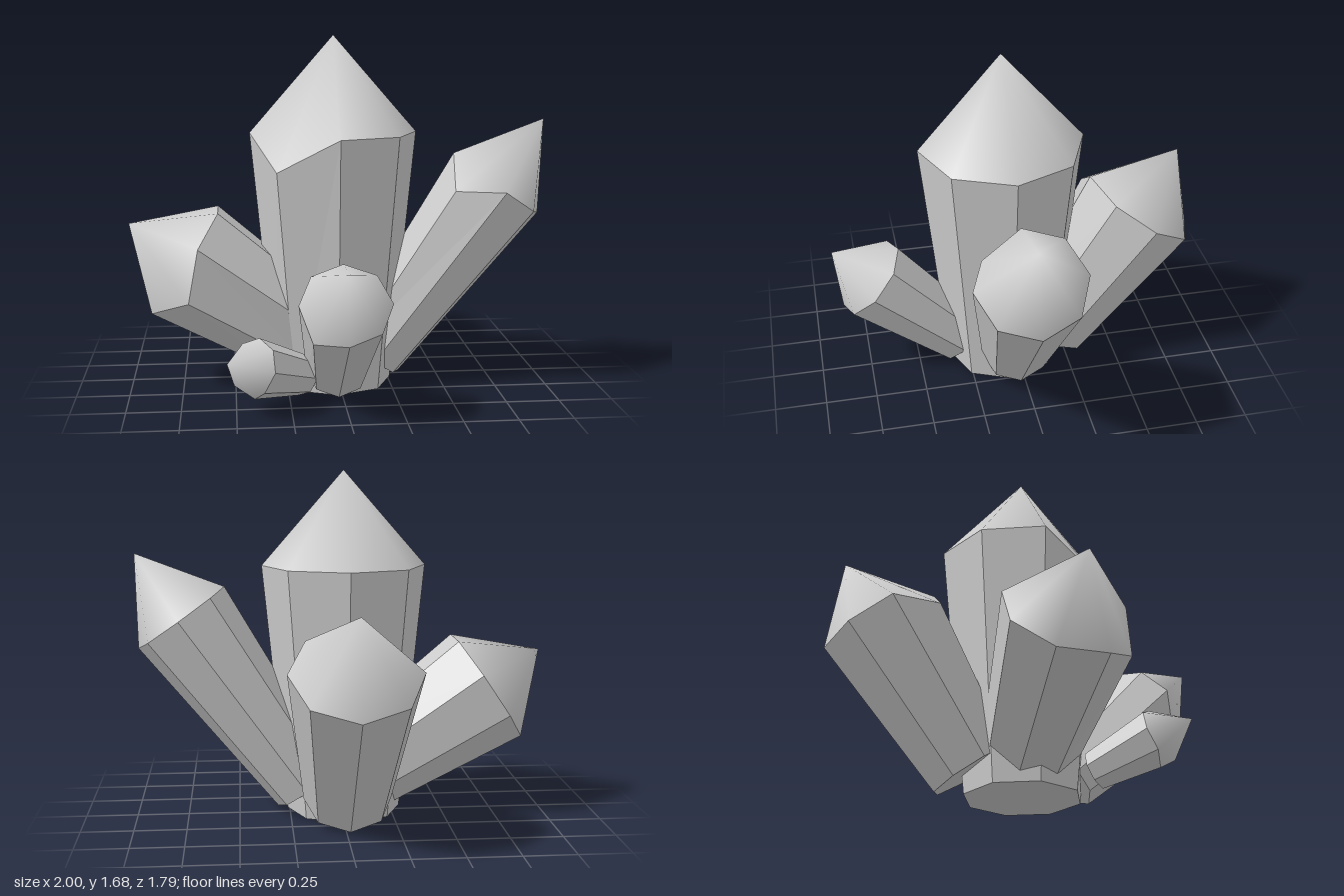
import * as THREE from 'three';
import { mergeVertices } from 'three/addons/utils/BufferGeometryUtils.js';

const SIDES = 8;
const shaftMaterial = new THREE.MeshStandardMaterial({ color: 0xcccccc, flatShading: true });
const tipMaterial = new THREE.MeshStandardMaterial({ color: 0xcccccc });

// Lower the one chipped rim corner (on the -x, +z diagonal)
function chipRim(geometry, rimY, radius, drop) {
  const p = geometry.attributes.position;
  const c = radius * Math.SQRT1_2;
  for (let i = 0; i < p.count; i++) {
    const onRim = Math.abs(p.getY(i) - rimY) < 1e-4;
    if (onRim && Math.hypot(p.getX(i) + c, p.getZ(i) - c) < 1e-4) p.setY(i, rimY - drop);
  }
}

// Tapered octagonal crystal with a smooth pointed end, running from base to tip
function makeCrystal({ name, base, tip, radius, baseRadius, cone, roll = 0 }) {
  const start = new THREE.Vector3(...base);
  const axis = new THREE.Vector3(...tip).sub(start);
  const length = axis.length();
  const rimY = length - cone;
  const drop = length * 0.095;

  const shaftGeometry = new THREE.CylinderGeometry(radius, baseRadius, rimY, SIDES);
  shaftGeometry.translate(0, rimY / 2, 0);
  chipRim(shaftGeometry, rimY, radius, drop);
  const flat = shaftGeometry.toNonIndexed();
  flat.computeVertexNormals();

  // Weld the cone so that its shading runs smoothly over the point
  let tipGeometry = new THREE.ConeGeometry(radius, cone, SIDES, 1, true);
  tipGeometry.translate(0, rimY + cone / 2, 0);
  chipRim(tipGeometry, rimY, radius, drop);
  tipGeometry.deleteAttribute('uv');
  tipGeometry.deleteAttribute('normal');
  tipGeometry = mergeVertices(tipGeometry, 1e-4);
  tipGeometry.computeVertexNormals();

  const shaft = new THREE.Mesh(flat.rotateY(roll), shaftMaterial);
  shaft.name = name + 'Shaft';
  const point = new THREE.Mesh(tipGeometry.rotateY(roll), tipMaterial);
  point.name = name + 'Tip';

  const crystal = new THREE.Group();
  crystal.name = name;
  crystal.add(shaft, point);
  crystal.position.copy(start);
  crystal.quaternion.setFromUnitVectors(new THREE.Vector3(0, 1, 0), axis.normalize());
  return crystal;
}

export function createModel() {
  const crystals = [
    { name: 'centreCrystal', base: [-0.02, 0.01, 0.06], tip: [-0.02, 1.69, 0.06], radius: 0.4, baseRadius: 0.28, cone: 0.46 },
    { name: 'leftCrystal', base: [0.17, 0.13, 0.03], tip: [0.995, 1.29, 0.1], radius: 0.258, baseRadius: 0.17, cone: 0.385 },
    { name: 'rightCrystal', base: [-0.1, 0.2, 0.06], tip: [-1, 0.8, 0.06], radius: 0.31, baseRadius: 0.22, cone: 0.32, roll: Math.PI / 8 },
    { name: 'backCrystal', base: [-0.02, 0.125, -0.18], tip: [-0.02, 1.095, -0.82], radius: 0.306, baseRadius: 0.213, cone: 0.33 },
    { name: 'frontCrystal', base: [-0.02, 0.12, 0.28], tip: [-0.02, 0.715, 0.9], radius: 0.208, baseRadius: 0.147, cone: 0.25 },
    { name: 'smallCrystal', base: [-0.19, 0.12, 0.36], tip: [-0.54, 0.28, 0.69], radius: 0.136, baseRadius: 0.095, cone: 0.17 },
  ];
  const cluster = new THREE.Group();
  cluster.name = 'crystalCluster';
  for (const spec of crystals) cluster.add(makeCrystal(spec));
  return cluster;
}
